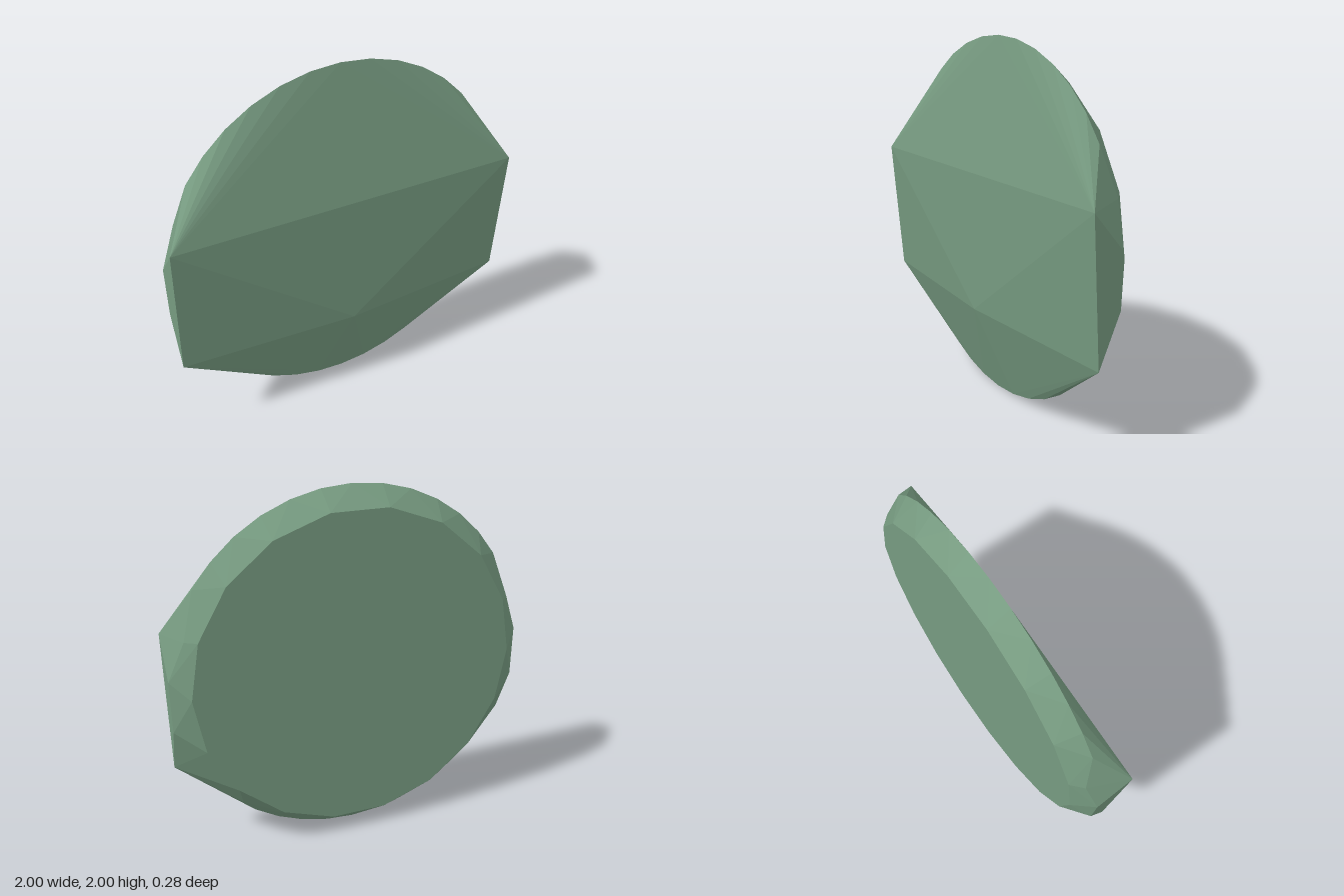
import * as THREE from 'three';
import { ConvexGeometry } from 'three/addons/geometries/ConvexGeometry.js';

const green = new THREE.MeshStandardMaterial({ color: 0x769a80 });
green.name = 'sage green';

// Points along an arc around the disc's centre, angles in degrees
function arc(radius, z, from, to, steps) {
  return Array.from({ length: steps + 1 }, (_, i) => {
    const a = THREE.MathUtils.degToRad(from + ((to - from) * i) / steps);
    return new THREE.Vector3(radius * Math.cos(a), 1 + radius * Math.sin(a), z);
  });
}

export function createModel() {
  const group = new THREE.Group();
  group.name = 'facetedDisc';

  const points = [
    ...arc(1, -0.02, 33, 147, 12), // upper rim
    ...arc(1, -0.02, 234, 306, 8), // lower rim
    ...arc(0.905, -0.14, 0, 340, 17), // flat back
    new THREE.Vector3(0, 0.51, 0.14), // front point
  ];

  // Side corners, and the short bevels behind them
  for (const s of [-1, 1]) {
    points.push(
      new THREE.Vector3(s, 1.28, s < 0 ? 0.14 : 0.13),
      new THREE.Vector3(s, 0.51, 0.075),
      new THREE.Vector3(s, 1.08, -0.045),
      new THREE.Vector3(s, 0.79, -0.045),
      new THREE.Vector3(s * 0.91, 1.3, -0.08),
      new THREE.Vector3(s * 0.66, 0.28, -0.05),
    );
  }

  const body = new THREE.Mesh(new ConvexGeometry(points), green);
  body.name = 'body';
  group.add(body);
  return group;
}
